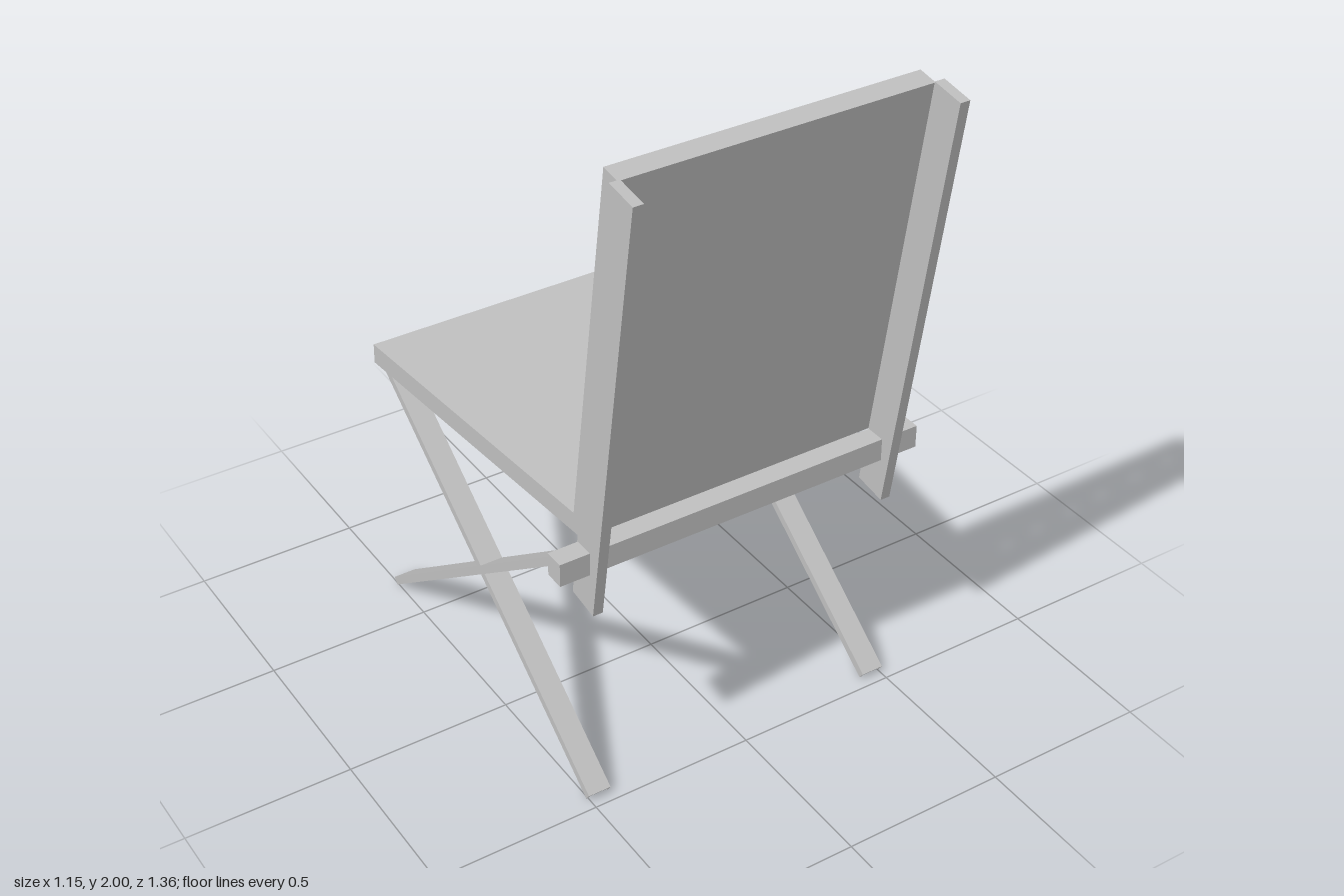
import * as THREE from 'three';

export function createModel() {
  const model = new THREE.Group();
  model.name = 'chair';
  const grey = new THREE.MeshStandardMaterial({ color: 0xc0c0c0 });
  grey.name = 'grey';

  const add = (name, geometry, parent = model) => {
    const mesh = new THREE.Mesh(geometry, grey);
    mesh.name = name;
    parent.add(mesh);
    return mesh;
  };
  const outline = (points) => points.map(([x, y]) => new THREE.Vector2(x, y));
  const extrude = (shape, depth) =>
    new THREE.ExtrudeGeometry(shape, { depth, bevelEnabled: false });

  // Reclined back panel with a slim post behind each edge
  const lean = 0.153;
  const panel = add('backPanel', new THREE.BoxGeometry(0.92, 1.149, 0.062));
  panel.position.set(0, 1.427, 0.4575);
  panel.rotation.x = lean;
  for (const side of [-1, 1]) {
    const post = add(side > 0 ? 'leftBackPost' : 'rightBackPost',
      new THREE.BoxGeometry(0.03, 1.34, 0.103));
    post.position.set(side * 0.47, 1.325, 0.527);
    post.rotation.x = lean;
  }

  // Crossbar joining the posts, seat and legs
  add('crossbar', new THREE.BoxGeometry(1.15, 0.07, 0.06)).position.set(0, 0.82, 0.435);

  // Seat: tapered tray, open underneath
  const seat = new THREE.Group();
  seat.name = 'seat';
  seat.position.set(0, 0.867, -0.137);
  seat.rotation.x = 0.029;
  model.add(seat);
  const wall = 0.005;
  const trapezoid = (inset) => outline([
    [-0.517 + inset, -0.54 + inset], [0.517 - inset, -0.54 + inset],
    [0.42 - inset, 0.54 - inset], [-0.42 + inset, 0.54 - inset],
  ]);
  add('seatTop', extrude(new THREE.Shape(trapezoid(0)), wall).rotateX(Math.PI / 2), seat);
  const rim = new THREE.Shape(trapezoid(0));
  rim.holes.push(new THREE.Path(trapezoid(wall)));
  add('seatRim', extrude(rim, 0.063 - wall).rotateX(Math.PI / 2).translate(0, -wall, 0), seat);

  // Crossed legs: shallow channels, open side down
  const w = 0.035, h = 0.0125;
  const channel = new THREE.Shape(outline([
    [-w, -h], [-w + wall, -h], [-w + wall, h - wall], [w - wall, h - wall],
    [w - wall, -h], [w, -h], [w, h], [-w, h],
  ]));
  const legs = [
    { name: 'ToSeat', tilt: 0.637, start: -0.672, end: 0.705 },
    { name: 'ToCrossbar', tilt: -0.637, start: -0.705, end: 0.685 },
  ];
  for (const side of [-1, 1]) {
    for (const { name, tilt, start, end } of legs) {
      const leg = add((side > 0 ? 'leftLeg' : 'rightLeg') + name,
        extrude(channel, end - start).translate(0, 0, start));
      leg.position.set(side * 0.47, 0.432, -0.103);
      leg.rotation.x = tilt;
    }
  }
  return model;
}
